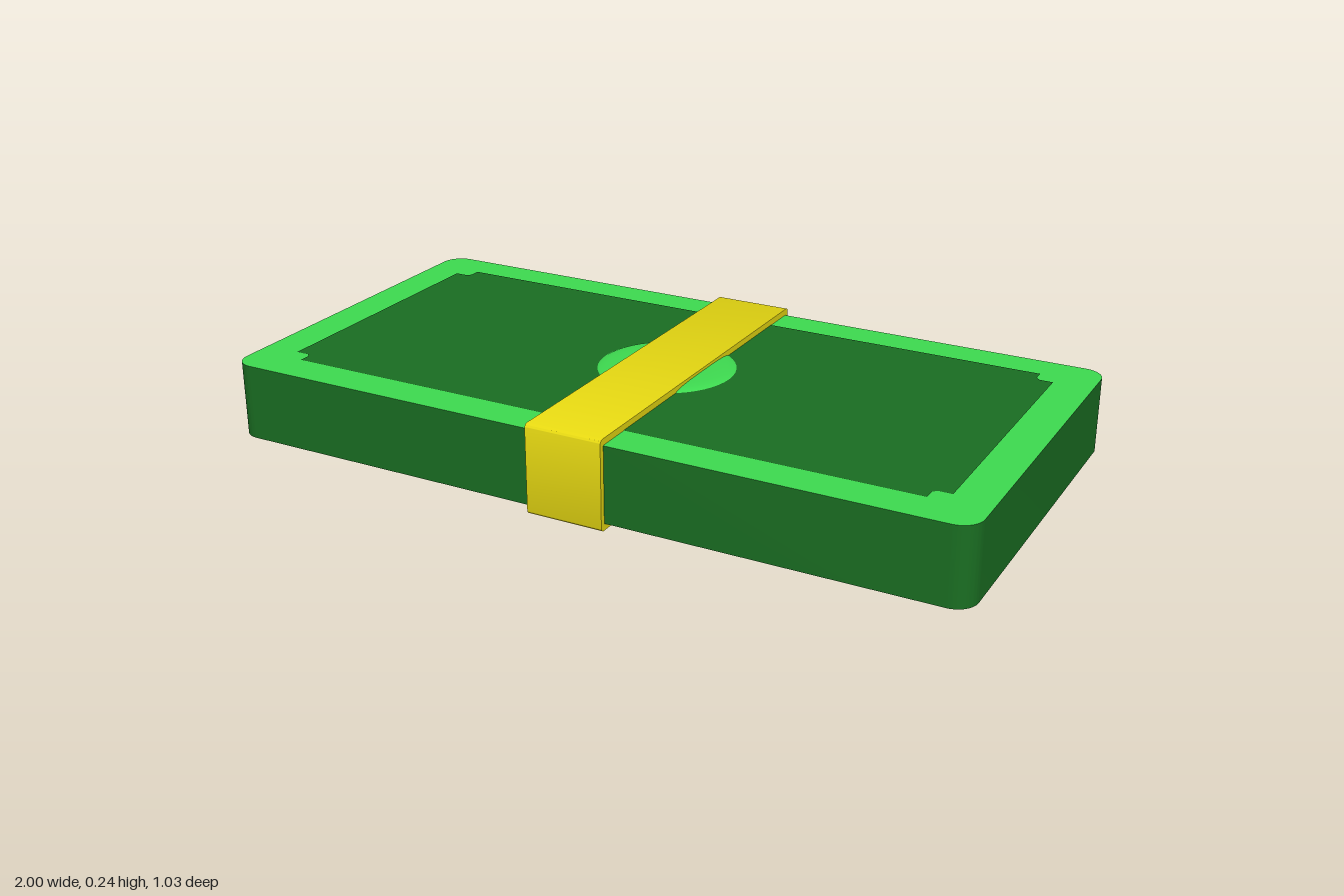
import * as THREE from 'three';
import { toCreasedNormals } from 'three/addons/utils/BufferGeometryUtils.js';

const mat = (color) => new THREE.MeshStandardMaterial({ color });

// Rounded rectangle path centred on the origin
function roundedRect(path, hw, hh, r) {
  path.moveTo(-hw + r, -hh);
  path.lineTo(hw - r, -hh);
  path.absarc(hw - r, -hh + r, r, -Math.PI / 2, 0);
  path.lineTo(hw, hh - r);
  path.absarc(hw - r, hh - r, r, 0, Math.PI / 2);
  path.lineTo(-hw + r, hh);
  path.absarc(-hw + r, hh - r, r, Math.PI / 2, Math.PI);
  path.lineTo(-hw, -hh + r);
  path.absarc(-hw + r, -hh + r, r, Math.PI, Math.PI * 1.5);
  return path;
}

function extrude(shape, depth) {
  const geo = new THREE.ExtrudeGeometry(shape, { depth, bevelEnabled: false, curveSegments: 8 });
  return toCreasedNormals(geo.translate(0, 0, -depth / 2), 0.6);
}

// Rectangle with stepped notches cut into the four corners
function notchedPanel() {
  const corner = [[0.9, 0.365], [0.865, 0.365], [0.855, 0.375], [0.855, 0.405]];
  const pts = [];
  for (const [sx, sy] of [[1, 1], [-1, 1], [-1, -1], [1, -1]]) {
    const c = corner.map(([x, y]) => new THREE.Vector2(x * sx, y * sy));
    pts.push(...(sx * sy > 0 ? c : c.reverse()));
  }
  return new THREE.Shape(pts);
}

export function createModel() {
  const model = new THREE.Group();
  const dark = mat(0x1a6e22);
  const light = mat(0x3edb50);
  const yellow = mat(0xe8da12);
  const midY = 0.118;
  const halfStack = 0.1;

  const add = (name, geo, material, parent = model) => {
    const mesh = new THREE.Mesh(geo, material);
    mesh.name = name;
    parent.add(mesh);
    return mesh;
  };

  // Stack of notes: light faces, dark edges
  const stackGeo = extrude(roundedRect(new THREE.Shape(), 1, 0.5, 0.055), halfStack * 2);
  stackGeo.rotateX(-Math.PI / 2);
  add('noteStack', stackGeo, [light, dark]).position.y = midY;

  // Printed panel and low centre medallion, on both faces
  const panelGeo = new THREE.ShapeGeometry(notchedPanel()).rotateX(-Math.PI / 2);
  const profile = [[0.18, 0], [0.172, 0.004], [0.155, 0.007], [0.125, 0.009], [0, 0.0105]];
  const domeGeo = new THREE.LatheGeometry(profile.map(([x, y]) => new THREE.Vector2(x, y)), 48);
  for (const [side, turn] of [['top', 0], ['bottom', Math.PI]]) {
    const face = new THREE.Group();
    face.name = side + 'Face';
    add(side + 'Panel', panelGeo, dark, face).position.y = halfStack + 0.002;
    add(side + 'Medallion', domeGeo, light, face).position.y = halfStack + 0.001;
    face.rotation.x = turn;
    face.position.y = midY;
    model.add(face);
  }

  // Paper band wrapped around the middle
  const bandShape = roundedRect(new THREE.Shape(), 0.514, 0.118, 0.012);
  bandShape.holes.push(roundedRect(new THREE.Path(), 0.5, 0.101, 0.004));
  const bandGeo = extrude(bandShape, 0.205).rotateY(Math.PI / 2);
  add('band', bandGeo, yellow).position.y = midY;

  return model;
}
